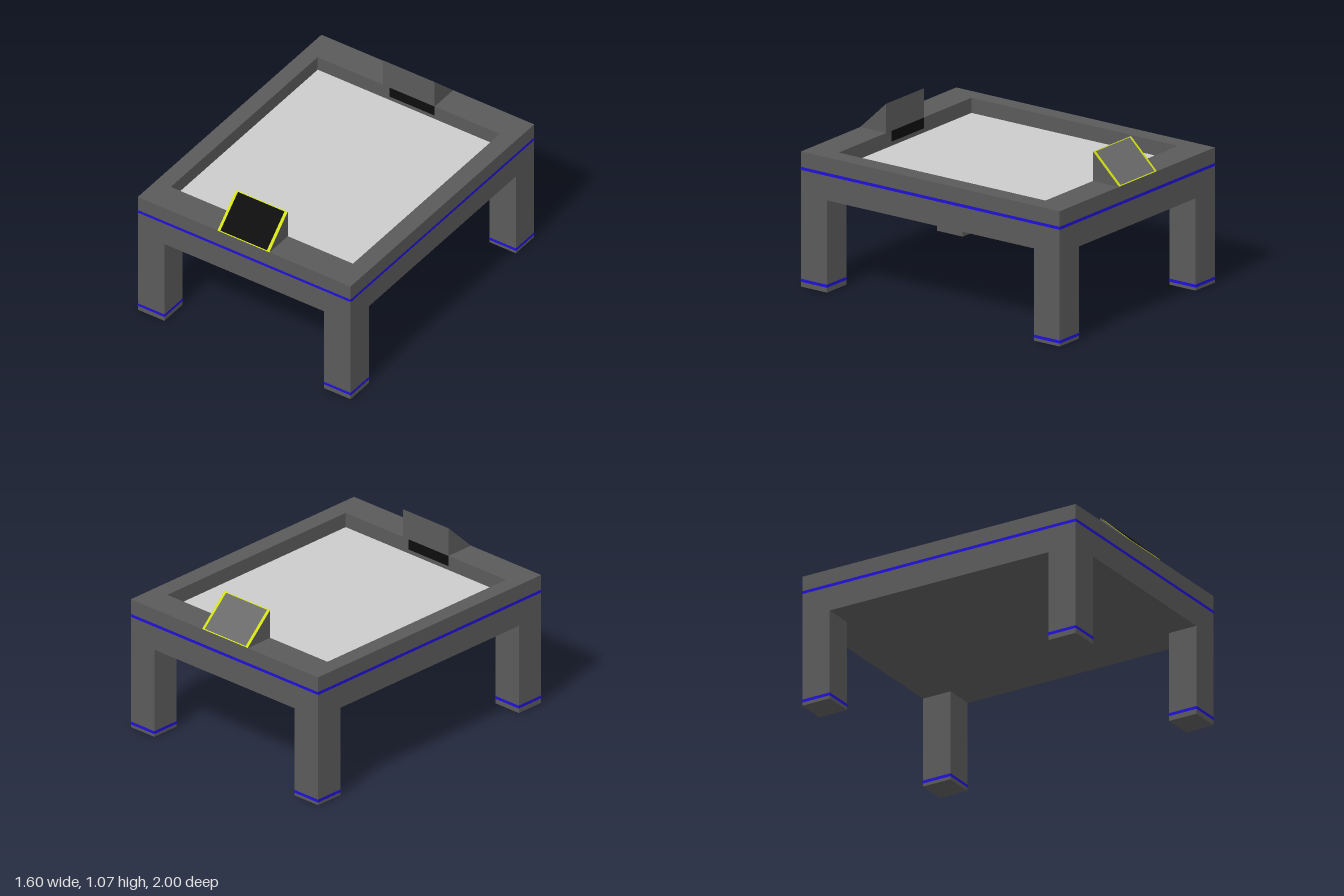
import * as THREE from 'three';

const paint = (color) => new THREE.MeshStandardMaterial({ color, flatShading: true });
const BODY = paint(0x5a5a5a), FLOOR = paint(0xcccccc), BLUE = paint(0x2010d8);
const YELLOW = paint(0xd0e010), BLACK = paint(0x0d0d0d), SCREEN = paint(0x6a6a6a);

function add(parent, name, geometry, material, x = 0, y = 0, z = 0) {
  const mesh = new THREE.Mesh(geometry, material);
  mesh.name = name;
  mesh.position.set(x, y, z);
  parent.add(mesh);
  return mesh;
}

// Open rectangular stripe that wraps a block
function band(width, height, depth) {
  const g = new THREE.CylinderGeometry(Math.SQRT1_2, Math.SQRT1_2, height, 4, 1, true);
  g.rotateY(Math.PI / 4);
  g.scale(width + 0.004, 1, depth + 0.004);
  return g;
}

// Sloped console, facing +z, with framed screen and a slot in the inner wall
function createConsole(screenMaterial) {
  const group = new THREE.Group();
  const width = 0.39, low = 0.88, high = 1.07;

  const profile = new THREE.Shape([
    new THREE.Vector2(0.8, low), new THREE.Vector2(1, low), new THREE.Vector2(0.8, high),
  ]);
  const wedge = new THREE.ExtrudeGeometry(profile, { depth: width, bevelEnabled: false });
  wedge.translate(0, 0, -width / 2);
  wedge.rotateY(-Math.PI / 2);
  add(group, 'consoleWedge', wedge, BODY);

  const slope = Math.hypot(0.2, high - low);
  const face = new THREE.Group();
  face.name = 'consoleFace';
  face.position.set(0, (low + high) / 2, 0.9);
  face.rotation.x = -Math.atan2(0.2, high - low);
  add(face, 'screenFrame', new THREE.PlaneGeometry(width, slope), YELLOW, 0, 0, 0.002);
  add(face, 'screen', new THREE.PlaneGeometry(width - 0.04, slope - 0.012), screenMaterial, 0, 0, 0.004);
  group.add(face);

  const slot = add(group, 'slot', new THREE.PlaneGeometry(0.34, 0.07), BLACK, -0.025, 0.845, 0.798);
  slot.rotation.y = Math.PI;
  return group;
}

export function createModel() {
  const model = new THREE.Group();
  model.name = 'gameTable';

  // Table body: slab, raised rim and pale recessed floor
  add(model, 'tableSlab', new THREE.BoxGeometry(1.6, 0.18, 2), BODY, 0, 0.69, 0);

  const outline = new THREE.Shape([[-0.8, -1], [0.8, -1], [0.8, 1], [-0.8, 1]]
    .map(([x, y]) => new THREE.Vector2(x, y)));
  outline.holes.push(new THREE.Path([[-0.69, -0.8], [-0.69, 0.8], [0.68, 0.8], [0.68, -0.8]]
    .map(([x, y]) => new THREE.Vector2(x, y))));
  const rim = new THREE.ExtrudeGeometry(outline, { depth: 0.1, bevelEnabled: false });
  rim.rotateX(-Math.PI / 2);
  add(model, 'rim', rim, BODY, 0, 0.78, 0);

  const floor = new THREE.PlaneGeometry(1.37, 1.6);
  floor.rotateX(-Math.PI / 2);
  add(model, 'playingFloor', floor, FLOOR, -0.005, 0.782, 0);
  add(model, 'tableStripe', band(1.6, 0.02, 2), BLUE, 0, 0.77, 0);

  // Four legs with stripes near the feet
  for (const sx of [-1, 1]) {
    for (const sz of [-1, 1]) {
      add(model, 'leg', new THREE.BoxGeometry(0.2, 0.6, 0.2), BODY, sx * 0.7, 0.3, sz * 0.9);
      add(model, 'legStripe', band(0.2, 0.02, 0.2), BLUE, sx * 0.7, sz > 0 ? 0.042 : 0.03, sz * 0.9);
    }
  }

  // A console at each end
  const front = createConsole(BLACK);
  front.name = 'frontConsole';
  const back = createConsole(SCREEN);
  back.name = 'backConsole';
  back.rotation.y = Math.PI;
  front.position.x = back.position.x = -0.005;
  model.add(front, back);

  return model;
}
